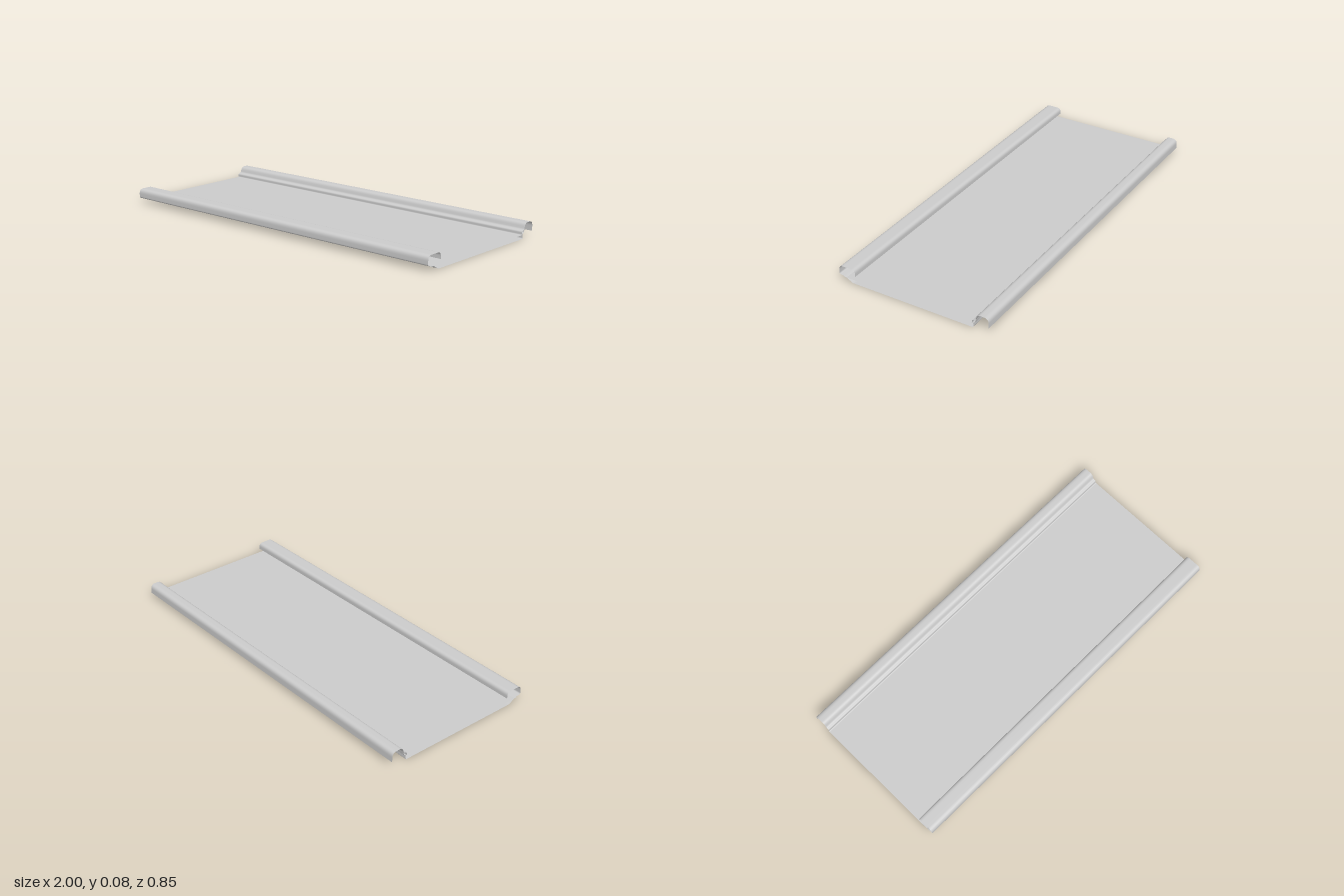
import * as THREE from 'three';

const material = new THREE.MeshStandardMaterial({ color: 0xcccccc, side: THREE.DoubleSide });

// Polyline of [z, y, radius] whose corners are rounded by the given radius
function roundedProfile(corners, steps = 6) {
  const pts = corners.map(([z, y]) => new THREE.Vector2(z, y));
  const out = [pts[0]];
  for (let i = 1; i < pts.length - 1; i++) {
    const r = corners[i][2];
    const toward = (q) => q.clone().sub(pts[i]).setLength(r).add(pts[i]);
    const bend = new THREE.QuadraticBezierCurve(toward(pts[i - 1]), pts[i], toward(pts[i + 1]));
    out.push(...bend.getPoints(steps));
  }
  out.push(pts[pts.length - 1]);
  return out;
}

// Thin sheet: the profile swept along x
function sheet(name, corners, halfLength = 1) {
  const profile = roundedProfile(corners);
  const position = [], index = [];
  profile.forEach((p, i) => {
    position.push(-halfLength, p.y, p.x, halfLength, p.y, p.x);
    if (i > 0) {
      const a = 2 * i - 2;
      index.push(a, a + 2, a + 1, a + 1, a + 2, a + 3);
    }
  });
  const geometry = new THREE.BufferGeometry();
  geometry.setAttribute('position', new THREE.Float32BufferAttribute(position, 3));
  geometry.setIndex(index);
  geometry.computeVertexNormals();
  const mesh = new THREE.Mesh(geometry, material);
  mesh.name = name;
  return mesh;
}

export function createModel() {
  const group = new THREE.Group();
  group.name = 'interlockingSlat';

  // Upper skin of the hollow slat
  group.add(sheet('upperSkin', [[-0.328, 0.02], [0.4, 0.02]]));

  // Back: rounded hump hooking downward, sloping to a short step onto the upper skin
  group.add(sheet('backHook', [
    [-0.427, 0.025],
    [-0.427, 0.078, 0.026],
    [-0.365, 0.078, 0.018],
    [-0.354, 0.044, 0.008],
    [-0.336, 0.04, 0.008],
    [-0.336, 0.02, 0.006],
    [-0.328, 0.02],
  ]));

  // Lower skin: back riser tucked under the hump, flat base
  group.add(sheet('lowerSkin', [
    [-0.357, 0.05],
    [-0.354, 0.03, 0.006],
    [-0.343, 0.028, 0.006],
    [-0.343, 0, 0.007],
    [-0.33, 0],
  ]));
  group.add(sheet('base', [[-0.33, 0], [0.335, 0]]));

  // Front: base slopes up to a ledge, then a lip curls back over the upper skin
  group.add(sheet('frontHook', [
    [0.335, 0],
    [0.35, 0, 0.01],
    [0.392, 0.024, 0.012],
    [0.427, 0.028, 0.008],
    [0.427, 0.078, 0.026],
    [0.332, 0.078, 0.022],
    [0.332, 0.042],
  ]));

  return group;
}
